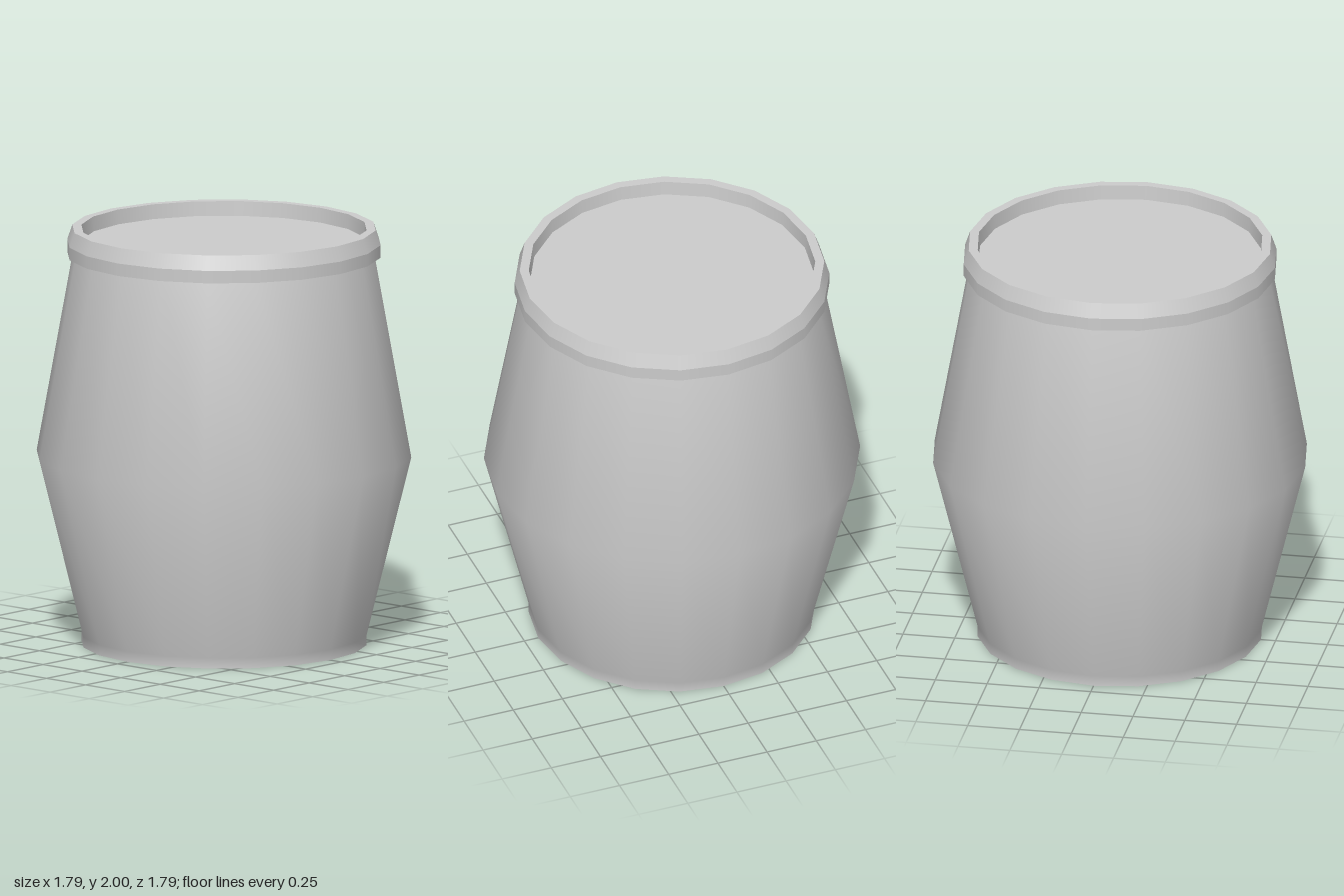
import * as THREE from 'three';
import { mergeGeometries } from 'three/addons/utils/BufferGeometryUtils.js';

const SIDES = 20;

// Each profile is smooth within itself; separate profiles meet in a sharp edge.
function turned(name, material, profiles) {
  const parts = profiles.map(p =>
    new THREE.LatheGeometry(p.map(([r, y]) => new THREE.Vector2(r, y)), SIDES));
  const mesh = new THREE.Mesh(mergeGeometries(parts), material);
  mesh.name = name;
  return mesh;
}

export function createModel() {
  const group = new THREE.Group();
  group.name = 'barrel';
  const material = new THREE.MeshStandardMaterial({ color: 0xcccccc });

  // Bulging wall with a short straight foot, and a flat base
  group.add(turned('body', material, [
    [[0, 0], [0.68, 0]],
    [[0.68, 0], [0.68, 0.05], [0.893, 0.91], [0.72, 1.87]],
  ]));

  // Overhanging bevelled rim: underside, band, bevel, top, inner wall
  const rim = [[0.72, 1.87], [0.747, 1.87], [0.747, 1.93], [0.723, 2], [0.68, 2], [0.675, 1.93]];
  group.add(turned('rim', material, rim.slice(1).map((p, i) => [rim[i], p])));

  // Sunken lid
  group.add(turned('lid', material, [[[0.675, 1.93], [0, 1.93]]]));

  return group;
}
